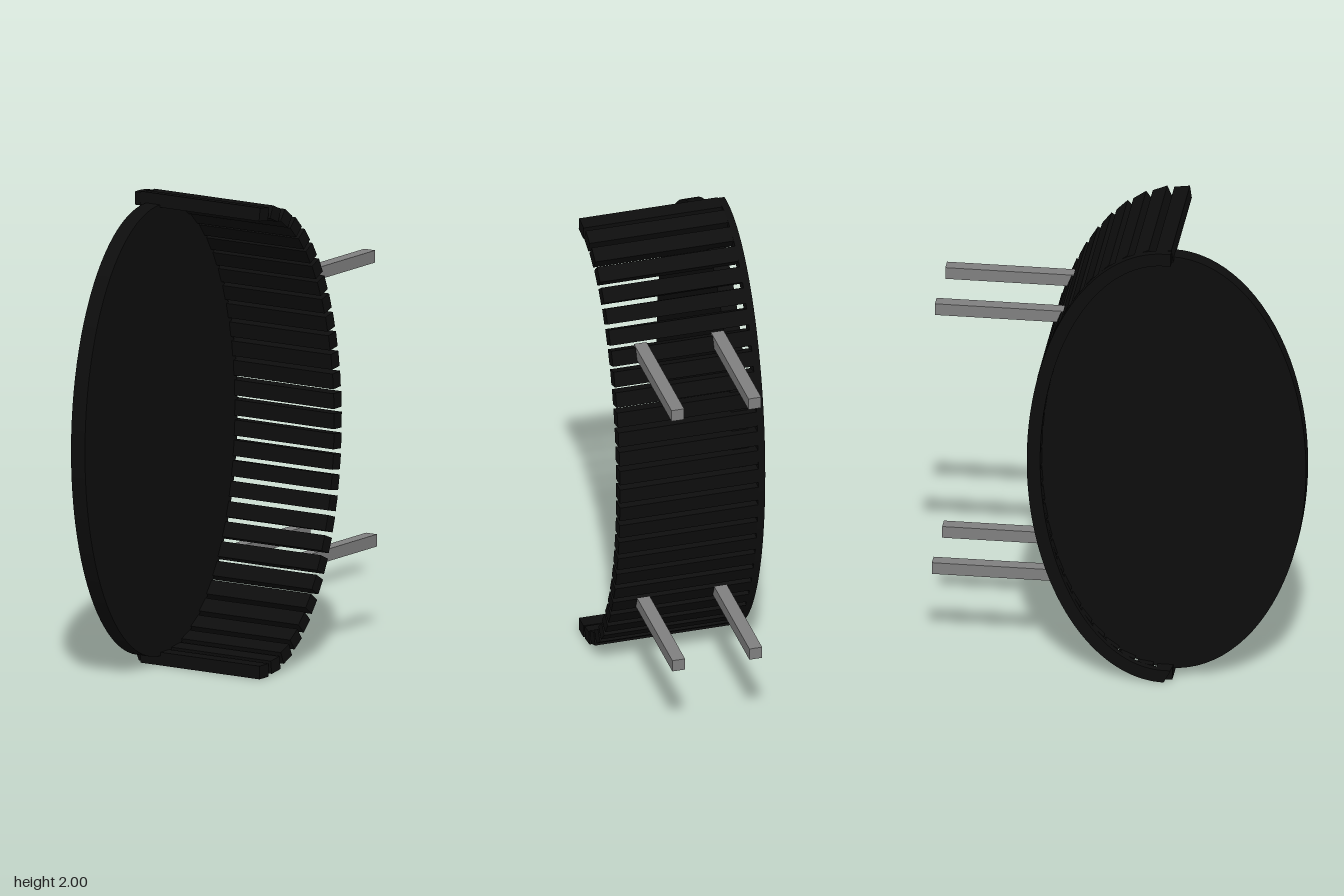
import * as THREE from 'three';

const black = new THREE.MeshStandardMaterial({ color: 0x0d0d0d });
const grey = new THREE.MeshStandardMaterial({ color: 0x808080 });

const CENTRE_Y = 1, CENTRE_Z = 0.2;
const RADIUS_Z = 0.546, RADIUS_Y = 0.972; // mid-line of the slatted shell
const SLAT_COUNT = 29, SLAT_WIDTH = 0.066, SLAT_DEPTH = 0.056;

function addMesh(parent, name, geometry, material, x, y, z) {
  const mesh = new THREE.Mesh(geometry, material);
  mesh.name = name;
  mesh.position.set(x, y, z);
  parent.add(mesh);
  return mesh;
}

// Slats spaced evenly along the rear half of an ellipse
function createSlats() {
  const group = new THREE.Group();
  group.name = 'slats';
  const path = new THREE.EllipseCurve(0, 0, RADIUS_Z, RADIUS_Y, -Math.PI / 2, Math.PI / 2);
  const geometry = new THREE.BoxGeometry(0.6, SLAT_WIDTH, SLAT_DEPTH);
  const steps = SLAT_COUNT - 1;
  for (let i = 0; i <= steps; i++) {
    const p = path.getPointAt(i / steps);
    // each slat leans along the line from the slat below it
    const t = path.getTangentAt(Math.max(0, (i - 0.5) / steps));
    const slat = addMesh(group, 'slat', geometry, black, 0.015, CENTRE_Y + p.y, CENTRE_Z - p.x);
    slat.rotation.x = Math.atan2(-t.x, t.y);
  }
  return group;
}

// Half ring closing the slat ends on one side
function createEndRib() {
  const half = SLAT_DEPTH / 2, q = Math.PI / 2, lip = -0.03;
  const shape = new THREE.Shape();
  shape.moveTo(lip, -RADIUS_Y - half);
  shape.absellipse(0, 0, RADIUS_Z + half, RADIUS_Y + half, -q, q, false);
  shape.lineTo(lip, RADIUS_Y + half);
  shape.lineTo(lip, RADIUS_Y - half);
  shape.absellipse(0, 0, RADIUS_Z - half, RADIUS_Y - half, q, -q, true);
  shape.lineTo(lip, -RADIUS_Y + half);
  shape.closePath();
  const geometry = new THREE.ExtrudeGeometry(shape, { depth: 0.03, bevelEnabled: false, curveSegments: 40 });
  return geometry.rotateY(Math.PI / 2);
}

export function createModel() {
  const model = new THREE.Group();
  model.name = 'slattedShell';

  model.add(createSlats());
  addMesh(model, 'endRib', createEndRib(), black, -0.315, CENTRE_Y, CENTRE_Z);

  // Oval panel standing inside the shell
  const panel = new THREE.CylinderGeometry(1, 1, 0.07, 96)
    .rotateZ(Math.PI / 2)
    .scale(1, 0.96, 0.565);
  addMesh(model, 'ovalPanel', panel, black, -0.22, CENTRE_Y, 0.225);

  // Four square mounting bars at the back
  for (const x of [-0.152, 0.182]) {
    for (const [y, back] of [[1.61, -0.777], [0.4, -0.79]]) {
      const front = -0.22;
      const bar = new THREE.BoxGeometry(0.055, 0.052, front - back);
      addMesh(model, 'mountingBar', bar, grey, x, y, (front + back) / 2);
    }
  }
  return model;
}
